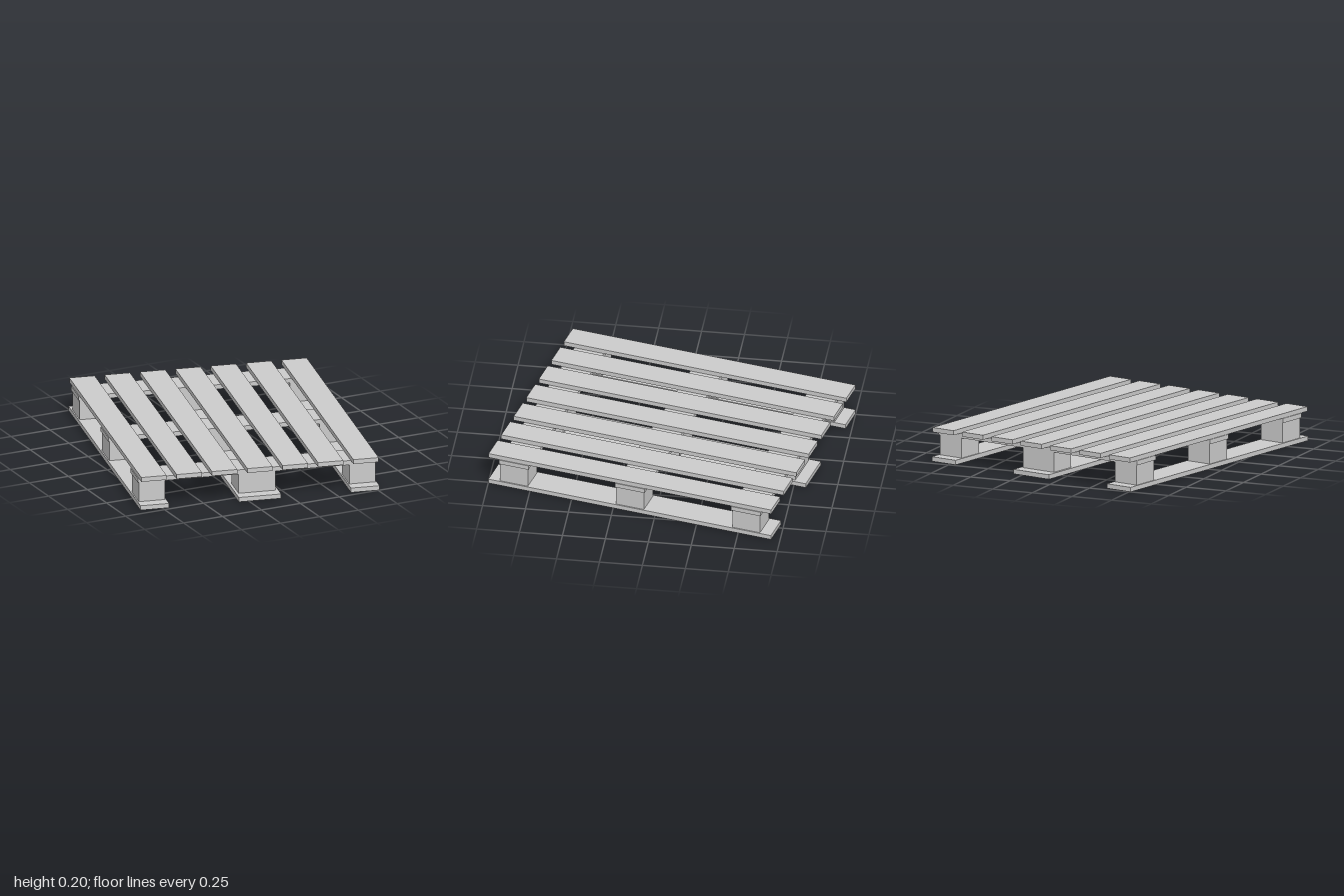
import * as THREE from 'three';

export function createModel() {
  const model = new THREE.Group();
  model.name = 'pallet';
  const material = new THREE.MeshStandardMaterial({ color: 0xcccccc, flatShading: true });

  // the whole pallet stands turned about the vertical axis
  const pallet = new THREE.Group();
  pallet.name = 'turnedPallet';
  pallet.rotation.y = -0.2145;
  model.add(pallet);

  // box given by its plan size, bottom and top heights, and plan centre
  function board(name, width, length, bottom, top, x, z) {
    const mesh = new THREE.Mesh(new THREE.BoxGeometry(width, top - bottom, length), material);
    mesh.name = name;
    mesh.position.set(x, (bottom + top) / 2, z);
    pallet.add(mesh);
  }

  const length = 1.736;
  const baseTop = 0.027, blockTop = 0.146, crossTop = 0.173, deckTop = 0.2;
  const crossZ = [-0.713, 0, 0.713];

  // seven deck slats
  for (let i = -3; i <= 3; i++) {
    board('deckSlat', 0.15, length, crossTop, deckTop, i * 0.21, 0);
  }

  // three cross boards under the deck
  for (const z of crossZ) board('crossBoard', 1.42, 0.182, blockTop, crossTop, 0, z);

  // three runners, each carrying three blocks; the middle ones are wider
  for (const side of [-1, 0, 1]) {
    const outer = side !== 0;
    board('bottomRunner', outer ? 0.17 : 0.252, length, 0, baseTop, side * 0.625, 0);
    for (const z of crossZ) {
      board('spacerBlock', outer ? 0.155 : 0.22, 0.17, baseTop, blockTop, side * 0.625, z);
    }
  }
  return model;
}
